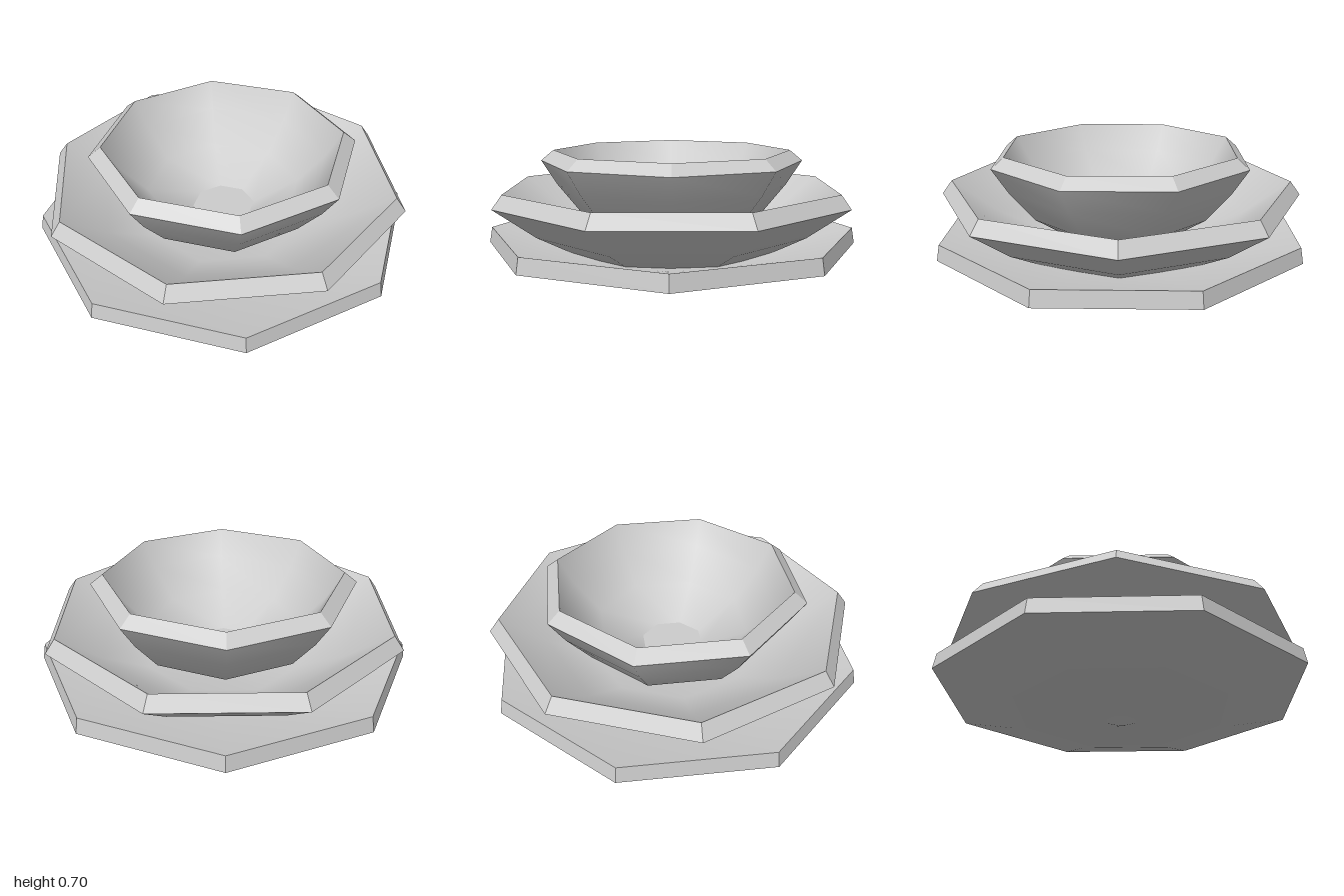
import * as THREE from 'three';

const SIDES = 8;

export function createModel() {
  const root = new THREE.Group();
  root.name = 'stackedBowls';
  const ceramic = new THREE.MeshStandardMaterial({ color: 0xcccccc });
  ceramic.name = 'pale grey ceramic';

  const lathe = (profile) =>
    new THREE.LatheGeometry(profile.map(([r, y]) => new THREE.Vector2(r, y)), SIDES);

  const add = (group, name, geometry) => {
    const mesh = new THREE.Mesh(geometry, ceramic);
    mesh.name = name;
    group.add(mesh);
  };

  // Eight-sided dish: smooth outside, faceted rim band, smooth hollow.
  // outer runs from the base up to the rim; inner from the rim down to the middle.
  function dish(name, turn, outer, inner) {
    const group = new THREE.Group();
    group.name = name;
    group.rotation.y = turn;
    add(group, name + 'Underside', lathe(outer));
    const rim = lathe([outer[outer.length - 1], inner[0]]).toNonIndexed();
    rim.computeVertexNormals();
    add(group, name + 'Rim', rim);
    add(group, name + 'Hollow', lathe(inner));
    root.add(group);
    return group;
  }

  // Wide, shallow plate with a small point under its centre
  dish('plate', Math.PI / 8,
    [[0, 0], [0.09, 0.03], [0.36, 0.055], [0.69, 0.095], [1.033, 0.178]],
    [[1.018, 0.264], [0.68, 0.18], [0.36, 0.14], [0, 0.12]]);

  // Middle dish, turned so its corners lie on the axes
  dish('middleDish', 0.01,
    [[0, 0.08], [0.3, 0.09], [0.54, 0.145], [0.77, 0.265], [1, 0.432]],
    [[0.945, 0.507], [0.7, 0.335], [0.45, 0.22], [0, 0.17]]);

  // Deep top bowl
  const bowl = dish('bowl', Math.PI / 8 + 0.01,
    [[0, 0.16], [0.28, 0.2], [0.5, 0.34], [0.64, 0.51], [0.727, 0.645]],
    [[0.657, 0.703], [0.57, 0.56], [0.42, 0.4], [0.173, 0.27]]);

  // Level floor of the bowl
  const floor = new THREE.CircleGeometry(0.173, SIDES);
  floor.rotateX(-Math.PI / 2);
  floor.translate(0, 0.27, 0);
  add(bowl, 'bowlFloor', floor);

  return root;
}
